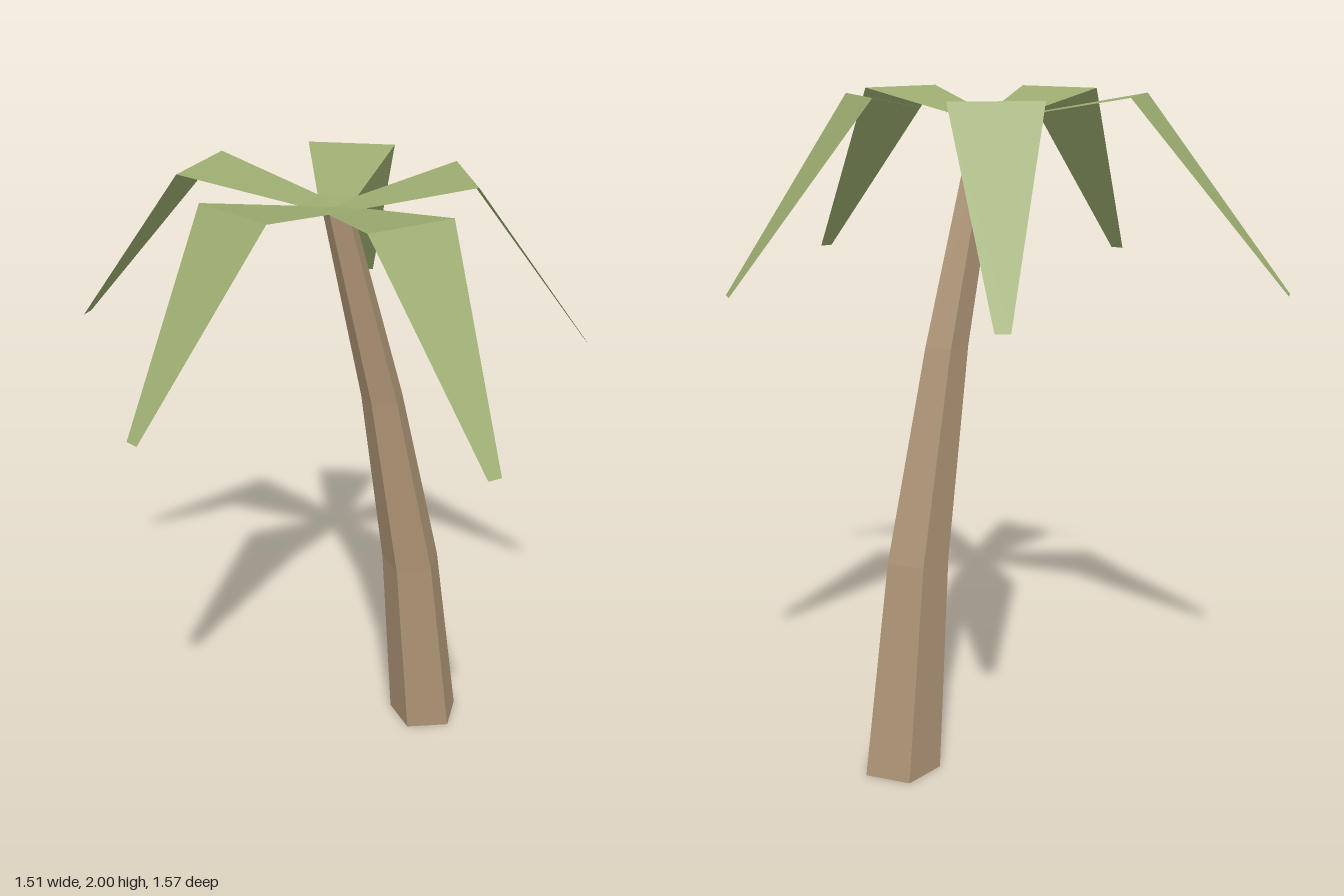
import * as THREE from 'three';

const bark = new THREE.MeshStandardMaterial({ name: 'bark', color: 0xae9576, flatShading: true });
const leaf = new THREE.MeshStandardMaterial({ name: 'leaf', color: 0x9cac70, flatShading: true, side: THREE.DoubleSide });

// Crown centre, where the fronds meet on top of the trunk
const crown = new THREE.Vector3(-0.02, 1.925, -0.103);

// Five-sided trunk, bent and tapered ring by ring: x, y, z, radius
function makeTrunk() {
  const rings = [
    [0.35, 0, -0.185, 0.12],
    [0.278, 0.65, -0.165, 0.097],
    [0.155, 1.28, -0.137, 0.068],
    [-0.01, 1.92, -0.1, 0.046],
  ];
  const geometry = new THREE.CylinderGeometry(1, 1, 3, 5, 3, false, Math.PI / 2);
  const p = geometry.attributes.position;
  for (let i = 0; i < p.count; i++) {
    const [x, y, z, r] = rings[Math.round(p.getY(i) + 1.5)];
    p.setXYZ(i, x + p.getX(i) * r, y, z + p.getZ(i) * r);
  }
  geometry.computeVertexNormals();
  const mesh = new THREE.Mesh(geometry, bark);
  mesh.name = 'trunk';
  return mesh;
}

// Frond along +x: pointed root, wide rising blade, then a drooping narrow tip
function makeFrond(midLength, tipLength) {
  const sections = [
    [0.081, 0.01, 0.059],
    [midLength, 0.075, 0.133],
    [tipLength, -0.475, 0.021],
  ];
  const points = [0, 0, 0];
  for (const [x, y, half] of sections) points.push(x, y, -half, x, y, half);
  const geometry = new THREE.BufferGeometry();
  geometry.setAttribute('position', new THREE.Float32BufferAttribute(points, 3));
  const index = [0, 2, 1];
  for (const a of [1, 3]) index.push(a, a + 1, a + 2, a + 1, a + 3, a + 2);
  geometry.setIndex(index);
  const flat = geometry.toNonIndexed();
  flat.computeVertexNormals();
  return new THREE.Mesh(flat, leaf);
}

export function createModel() {
  const model = new THREE.Group();
  model.name = 'palmTree';
  model.add(makeTrunk());

  // Five fronds, two of them longer
  const fronds = new THREE.Group();
  fronds.name = 'fronds';
  for (let i = 0; i < 5; i++) {
    const long = i === 1 || i === 3;
    const frond = makeFrond(long ? 0.44 : 0.393, long ? 0.885 : 0.788);
    frond.name = 'frond' + (i + 1);
    frond.position.copy(crown);
    frond.rotation.y = -THREE.MathUtils.degToRad(13 + 72 * i);
    fronds.add(frond);
  }
  model.add(fronds);
  return model;
}
